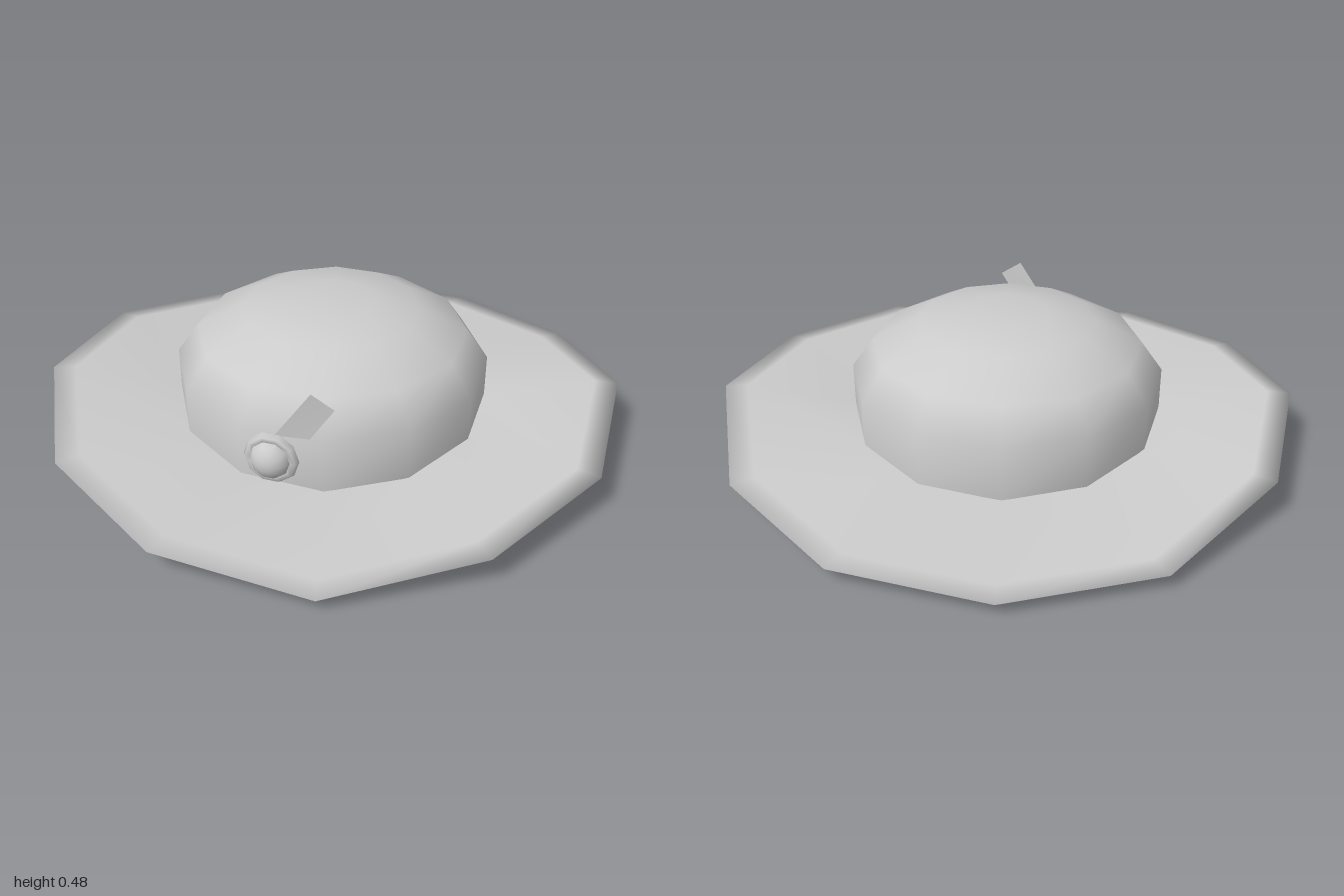
import * as THREE from 'three';
import { mergeVertices } from 'three/addons/utils/BufferGeometryUtils.js';

const SIDES = 12;
const grey = new THREE.MeshStandardMaterial({ color: 0xcccccc });
const thin = new THREE.MeshStandardMaterial({ color: 0xcccccc, side: THREE.DoubleSide });

// Skin a run of rings; each ring is [radius, height], height being a number or a rule (x, corner) => y
function ringSurface(rings) {
  const pos = [], index = [];
  for (const [r, h] of rings) {
    for (let j = 0; j < SIDES; j++) {
      const a = (j / SIDES) * Math.PI * 2;
      const x = r * Math.cos(a), z = r * Math.sin(a);
      pos.push(x, typeof h === 'function' ? h(x, j) : h, z);
    }
  }
  for (let i = 0; i < rings.length - 1; i++) {
    for (let j = 0; j < SIDES; j++) {
      const k = (j + 1) % SIDES;
      const a = i * SIDES + j, b = a + SIDES, c = i * SIDES + k, d = c + SIDES;
      if (rings[i + 1][0] > 0) index.push(b, d, c);
      if (rings[i][0] > 0) index.push(a, b, c);
    }
  }
  const geo = new THREE.BufferGeometry();
  geo.setAttribute('position', new THREE.Float32BufferAttribute(pos, 3));
  geo.setIndex(index);
  const merged = mergeVertices(geo);
  merged.computeVertexNormals();
  return merged;
}

function addMesh(parent, name, geometry, material = grey) {
  const mesh = new THREE.Mesh(geometry, material);
  mesh.name = name;
  parent.add(mesh);
  return mesh;
}

// Uneven rim heights, corner by corner from the left side (+x) round by the front
const rimHeights = [0.178, 0.135, 0.106, 0.05, 0.092, 0.13, 0.183, 0.138, 0.055, 0.048, 0.055, 0.092];
const edge = (x, j) => rimHeights[j];
const rimTop = (x, j) => rimHeights[j] + 0.006;
const rimUnder = (x, j) => rimHeights[j] - 0.012 - 0.03 * x * x;
const innerUnder = (x) => 0.002 + 0.075 * Math.abs(x / 0.55) ** 3;
const innerTop = (x) => 0.08 + 0.14 * x * x;

export function createModel() {
  const hat = new THREE.Group();
  hat.name = 'hat';

  // Brim, with a cone-shaped hollow underneath
  const brim = addMesh(hat, 'brim', ringSurface([
    [0, 0.36], [0.17, 0.32], [0.37, 0.17],
    [0.55, innerUnder], [0.92, rimUnder], [1, edge], [0.92, rimTop], [0.52, innerTop],
  ]));
  brim.position.x = -0.003;

  // Domed crown
  const crown = addMesh(hat, 'crown', ringSurface([
    [0.54, 0.08], [0.54, 0.27], [0.465, 0.375], [0.305, 0.458], [0.15, 0.483], [0, 0.485],
  ]));
  crown.position.x = -0.006;

  // Round badge on the front of the crown
  const badge = new THREE.Group();
  badge.name = 'badge';
  badge.position.set(-0.172, 0.179, 0.5);
  badge.rotation.y = -0.26;
  hat.add(badge);
  addMesh(badge, 'badgeRing', new THREE.TorusGeometry(0.073, 0.02, 6, 10));
  const stud = addMesh(badge, 'badgeStud',
    new THREE.SphereGeometry(0.07, 10, 5, 0, Math.PI * 2, 0, Math.PI / 2).rotateX(Math.PI / 2));
  stud.scale.z = 0.88;

  // Flat feather rising from behind the badge
  const feather = new THREE.BufferGeometry();
  feather.setAttribute('position', new THREE.Float32BufferAttribute([
    -0.195, 0.21, 0.488, -0.115, 0.165, 0.508, 0.03, 0.395, 0.553, -0.043, 0.443, 0.541,
  ], 3));
  feather.setIndex([0, 1, 2, 0, 2, 3]);
  feather.computeVertexNormals();
  addMesh(hat, 'feather', feather, thin);

  return hat;
}
